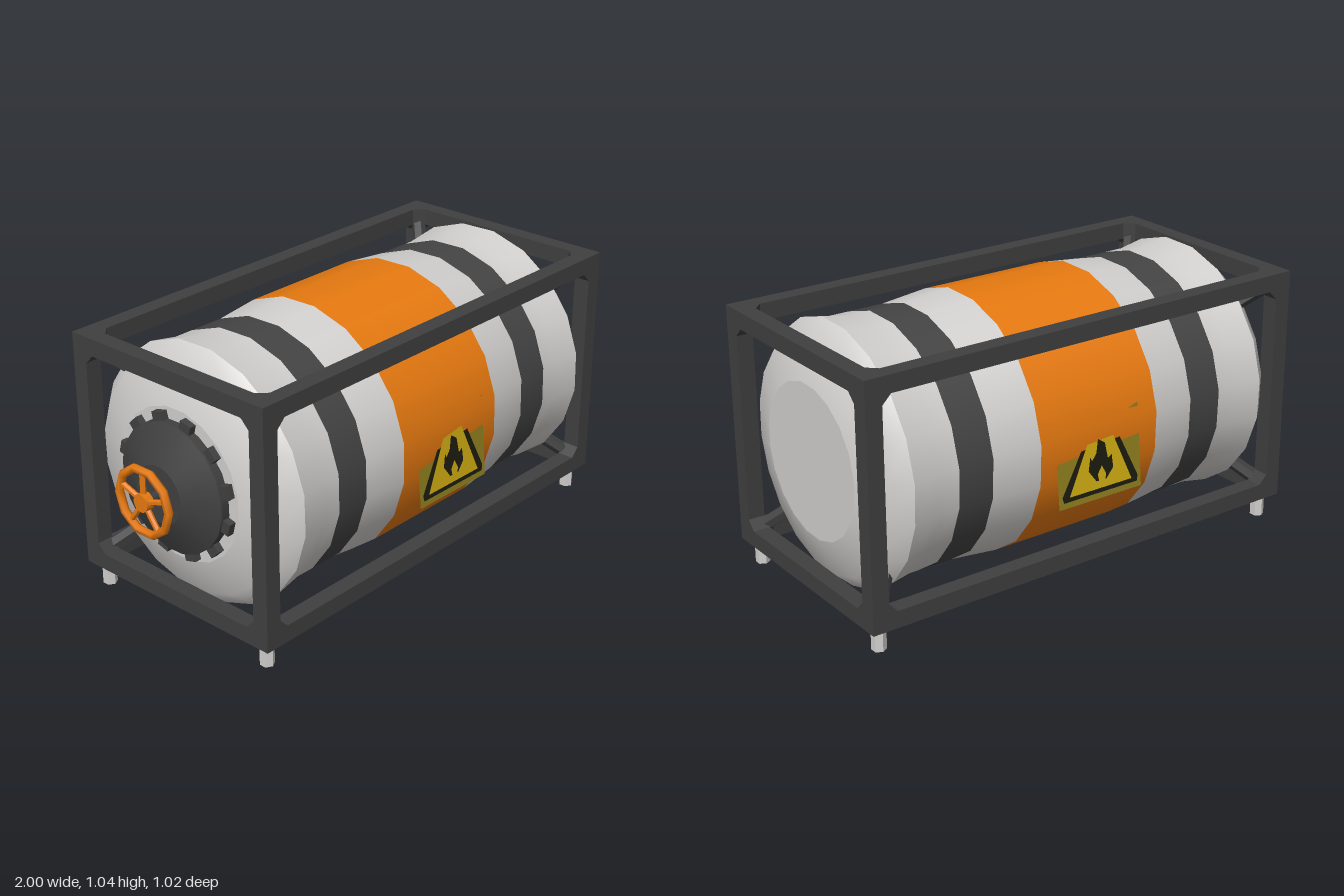
import * as THREE from 'three';

const mat = (name, color, extra = {}) => new THREE.MeshStandardMaterial({ name, color, ...extra });

export function createModel() {
  const group = new THREE.Group();
  const lightGrey = mat('lightGrey', 0xd2d0ce);
  const orange = mat('orange', 0xe87a10);
  const bandGrey = mat('bandGrey', 0x444444);
  const frameGrey = mat('frameGrey', 0x404041);
  const plateOlive = mat('plateOlive', 0x92811f);
  const signYellow = mat('signYellow', 0xd2b013);
  const signBlack = mat('signBlack', 0x1d1c10);

  const CX = 0.065, CY = 0.553; // centre of the tank and frame

  const add = (name, geo, material, parent = group) => {
    const mesh = new THREE.Mesh(geo, material);
    mesh.name = name;
    parent.add(mesh);
    return mesh;
  };

  // Surface of revolution about the tank axis; profile is [x, radius]
  const turned = (name, profile, material, sides = 20) => {
    const pts = profile.map(([x, r]) => new THREE.Vector2(r, x));
    const geo = new THREE.LatheGeometry(pts, sides, THREE.MathUtils.degToRad(-82.5));
    geo.rotateZ(-Math.PI / 2).translate(0, CY, 0);
    return add(name, geo, material);
  };

  // Round bar between two points
  const bar = (name, a, b, radius, sides, material) => {
    const from = new THREE.Vector3(...a), dir = new THREE.Vector3(...b).sub(from);
    let geo = new THREE.CylinderGeometry(radius, radius, dir.length(), sides);
    if (sides <= 6) { geo = geo.toNonIndexed(); geo.computeVertexNormals(); }
    const mesh = add(name, geo, material);
    mesh.position.copy(from).addScaledVector(dir, 0.5);
    mesh.quaternion.setFromUnitVectors(new THREE.Vector3(0, 1, 0), dir.normalize());
    return mesh;
  };

  // Tank shell, split where the colour changes
  turned('tankEndRight', [[-0.82, 0], [-0.82, 0.29]], lightGrey);
  turned('tankShoulderRight', [[-0.82, 0.29], [-0.78, 0.43], [-0.71, 0.495]], lightGrey);
  turned('tankShellRight', [[-0.71, 0.495], [-0.6, 0.476], [-0.52, 0.476]], lightGrey);
  turned('darkBandRight', [[-0.52, 0.476], [-0.38, 0.476]], bandGrey);
  turned('tankNeckRight', [[-0.38, 0.476], [-0.2, 0.495]], lightGrey);
  turned('orangeBand', [[-0.2, 0.495], [0.32, 0.495]], orange);
  turned('tankNeckLeft', [[0.32, 0.495], [0.51, 0.476]], lightGrey);
  turned('darkBandLeft', [[0.51, 0.476], [0.65, 0.476]], bandGrey);
  turned('tankShellLeft', [[0.65, 0.476], [0.73, 0.476], [0.84, 0.495]], lightGrey);
  turned('tankShoulderLeft', [[0.84, 0.495], [0.91, 0.43], [0.95, 0.29]], lightGrey);
  turned('tankEndLeft', [[0.95, 0.29], [0.95, 0]], lightGrey);

  // Frame: six open panels with chamfered inner corners
  const T = 0.065, L = 1.87, H = 0.92, D = 0.92, CH = 0.035;
  const panel = (w, h) => {
    const s = new THREE.Shape([[-1, -1], [1, -1], [1, 1], [-1, 1]]
      .map(([x, y]) => new THREE.Vector2(x * w / 2, y * h / 2)));
    const a = w / 2 - T, b = h / 2 - T;
    s.holes.push(new THREE.Path([
      [-a + CH, -b], [-a, -b + CH], [-a, b - CH], [-a + CH, b],
      [a - CH, b], [a, b - CH], [a, -b + CH], [a - CH, -b],
    ].map(([x, y]) => new THREE.Vector2(x, y))));
    return new THREE.ExtrudeGeometry(s, { depth: T, bevelEnabled: false }).translate(0, 0, -T / 2);
  };
  const frame = new THREE.Group();
  frame.name = 'frame';
  frame.position.set(CX, 0.55, 0);
  group.add(frame);
  for (const s of [-1, 1]) {
    add('frameSide', panel(L, H), frameGrey, frame).position.z = s * (D - T) / 2;
    const end = add('frameEnd', panel(D, H), frameGrey, frame);
    end.rotation.y = Math.PI / 2;
    end.position.x = s * (L - T) / 2;
    const level = add('frameLevel', panel(L, D), frameGrey, frame);
    level.rotation.x = Math.PI / 2;
    level.position.y = s * (H - T) / 2;
  }

  // Corner braces and feet
  for (const sx of [-1, 1]) for (const sz of [-1, 1]) {
    for (const sy of [-1, 1]) {
      bar('cornerBrace', [CX + sx * 0.895, 0.55 + sy * 0.42, sz * 0.42],
        [CX + sx * 0.8, 0.55 + sy * 0.325, sz * 0.325], 0.028, 6, frameGrey);
    }
    bar('foot', [CX + sx * 0.882, 0, sz * 0.405], [CX + sx * 0.882, 0.1, sz * 0.405], 0.027, 6, lightGrey);
  }

  // Valve cover with bolt lugs
  turned('valveFlange', [[-0.85, 0.245], [-0.815, 0.245]], frameGrey);
  turned('valveCone', [[-0.917, 0.11], [-0.86, 0.245], [-0.85, 0.245]], frameGrey);
  turned('valveCap', [[-0.917, 0], [-0.917, 0.11]], frameGrey);
  for (let i = 0; i < 12; i++) {
    const a = (i + 0.5) * Math.PI / 6;
    const lug = add('boltLug', new THREE.BoxGeometry(0.03, 0.04, 0.05), frameGrey);
    lug.position.set(-0.832, CY + Math.cos(a) * 0.255, Math.sin(a) * 0.255);
    lug.rotation.x = a;
  }

  // Hand wheel
  bar('valveStem', [-0.91, CY, 0], [-0.975, CY, 0], 0.02, 10, frameGrey);
  bar('wheelHub', [-0.968, CY, 0], [-1, CY, 0], 0.035, 10, orange);
  const rim = add('wheelRim', new THREE.TorusGeometry(0.123, 0.016, 6, 10), orange);
  rim.rotation.y = Math.PI / 2;
  rim.position.set(-0.984, CY, 0);
  for (let i = 0; i < 5; i++) {
    const a = i * Math.PI * 2 / 5;
    bar('wheelSpoke', [-0.984, CY, 0],
      [-0.984, CY + Math.cos(a) * 0.12, Math.sin(a) * 0.12], 0.011, 6, orange);
  }

  // Warning plates: thin flat faces leaning slightly into the tank
  const face = (name, pts, material, lift, parent) => {
    const geo = new THREE.ShapeGeometry(new THREE.Shape(pts.map(([x, y]) => new THREE.Vector2(x, y))));
    const p = geo.attributes.position;
    for (let i = 0; i < p.count; i++) {
      const x = p.getX(i), y = p.getY(i);
      p.setXYZ(i, x - CX, y, 0.508 - 0.095 * (y - 0.355) + 0.0095 * (x - 0.25) + lift);
    }
    geo.computeVertexNormals();
    add(name, geo, material, parent);
  };
  for (const turn of [0, Math.PI]) {
    const sign = new THREE.Group();
    sign.name = turn ? 'backSign' : 'frontSign';
    sign.position.x = CX;
    sign.rotation.y = turn;
    group.add(sign);
    face('signPlate', [[-0.12, 0.355], [0.25, 0.355], [0.25, 0.673], [-0.12, 0.553]], plateOlive, 0, sign);
    face('signBorder', [[-0.1, 0.378], [0.23, 0.378], [0.235, 0.4], [0.132, 0.628],
      [0.01, 0.588], [-0.105, 0.4]], signBlack, 0.002, sign);
    face('signTriangle', [[-0.075, 0.395], [0.205, 0.395], [0.112, 0.622], [0.025, 0.593]],
      signYellow, 0.004, sign);
    face('signFlame', [[0.045, 0.425], [0.09, 0.425], [0.122, 0.46], [0.118, 0.51], [0.1, 0.5],
      [0.09, 0.56], [0.06, 0.58], [0.05, 0.53], [0.03, 0.505], [0.022, 0.52], [0.012, 0.47]],
      signBlack, 0.006, sign);
    face('signFlameCore', [[0.055, 0.425], [0.083, 0.425], [0.088, 0.445], [0.07, 0.48], [0.05, 0.45]],
      signYellow, 0.008, sign);
  }
  return group;
}
